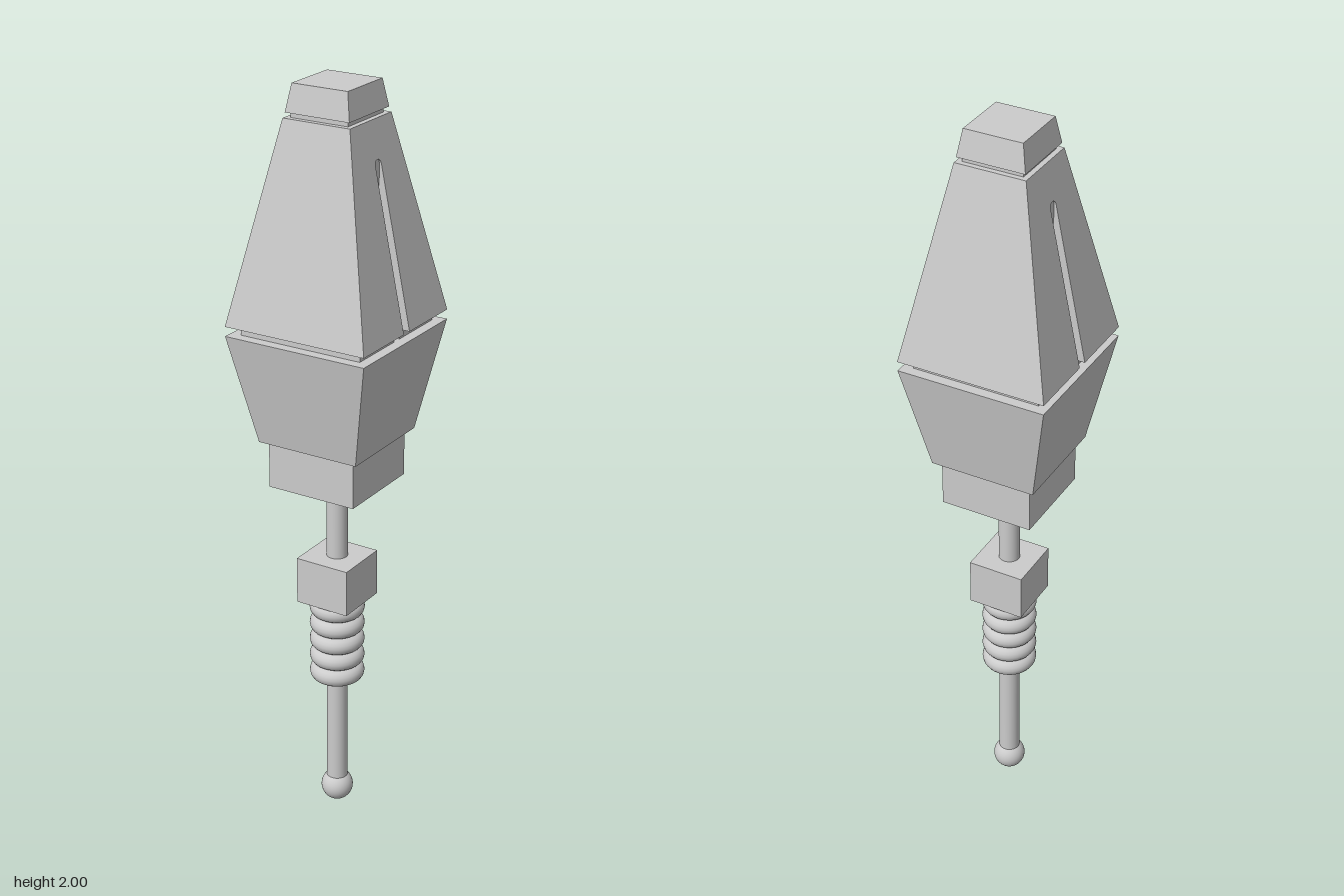
import * as THREE from 'three';

const flat = new THREE.MeshStandardMaterial({ color: 0xcccccc, flatShading: true });
const smooth = new THREE.MeshStandardMaterial({ color: 0xcccccc });

export function createModel() {
  const model = new THREE.Group();

  function add(name, geometry, material, y = 0) {
    const mesh = new THREE.Mesh(geometry, material);
    mesh.name = name;
    mesh.position.y = y;
    model.add(mesh);
    return mesh;
  }

  // Square block from y0 to y1, given half widths at bottom and top
  function block(name, y0, y1, bottom, top = bottom) {
    const g = new THREE.CylinderGeometry(top * Math.SQRT2, bottom * Math.SQRT2, y1 - y0, 4);
    g.rotateY(Math.PI / 4);
    return add(name, g, flat, (y0 + y1) / 2);
  }

  // Handle cap and neck
  block('cap', 1.93, 2.0, 0.09, 0.078);
  block('capNeck', 1.91, 1.935, 0.08);

  // Upper handle: two mirrored halves, each with a round-ended slot in its side
  const y0 = 1.403, y1 = 1.917, wide = 0.2, narrow = 0.094;
  const slot = 0.0135, slotTop = 1.825;
  const halfAt = (y) => wide + (narrow - wide) * (y - y0) / (y1 - y0);
  const outline = new THREE.Shape();
  outline.moveTo(slot, y0);
  outline.lineTo(wide, y0);
  outline.lineTo(narrow, y1);
  outline.lineTo(-narrow, y1);
  outline.lineTo(-wide, y0);
  outline.lineTo(-slot, y0);
  outline.lineTo(-slot, slotTop - slot);
  outline.absarc(0, slotTop - slot, slot, Math.PI, 0, true);
  outline.lineTo(slot, y0);
  const half = new THREE.ExtrudeGeometry(outline, { depth: 1, bevelEnabled: false, curveSegments: 12 });
  half.rotateY(Math.PI / 2);
  const p = half.attributes.position;
  for (let i = 0; i < p.count; i++) p.setX(i, p.getX(i) * halfAt(p.getY(i)));
  half.computeVertexNormals();
  add('upperHandleLeft', half, flat);
  add('upperHandleRight', half, flat).rotation.y = Math.PI;

  // Core closing the slots
  add('slotCore', new THREE.BoxGeometry(0.22, 0.452, 0.04), flat, 1.604);

  // Recessed joint, split so the slots run through it
  for (const s of [1, -1]) {
    const depth = 0.172 - slot;
    const joint = add('joint', new THREE.BoxGeometry(0.344, 0.027, depth), flat, 1.3905);
    joint.position.z = s * (slot + depth / 2);
  }

  // Lower handle and collar
  block('lowerHandle', 1.087, 1.378, 0.143, 0.2);
  block('collar', 0.96, 1.09, 0.125);

  // Shaft, cube and ball tip
  add('shaft', new THREE.CylinderGeometry(0.028, 0.028, 0.92, 32), smooth, 0.51);
  block('shaftCube', 0.62, 0.747, 0.076);
  add('ballTip', new THREE.SphereGeometry(0.043, 32, 20), smooth, 0.043);

  // Stacked rings
  for (let i = 0; i < 5; i++) {
    const ring = new THREE.TorusGeometry(0.048, 0.025, 16, 40);
    ring.rotateX(Math.PI / 2);
    add('ring', ring, smooth, 0.405 + i * 0.048);
  }

  return model;
}
